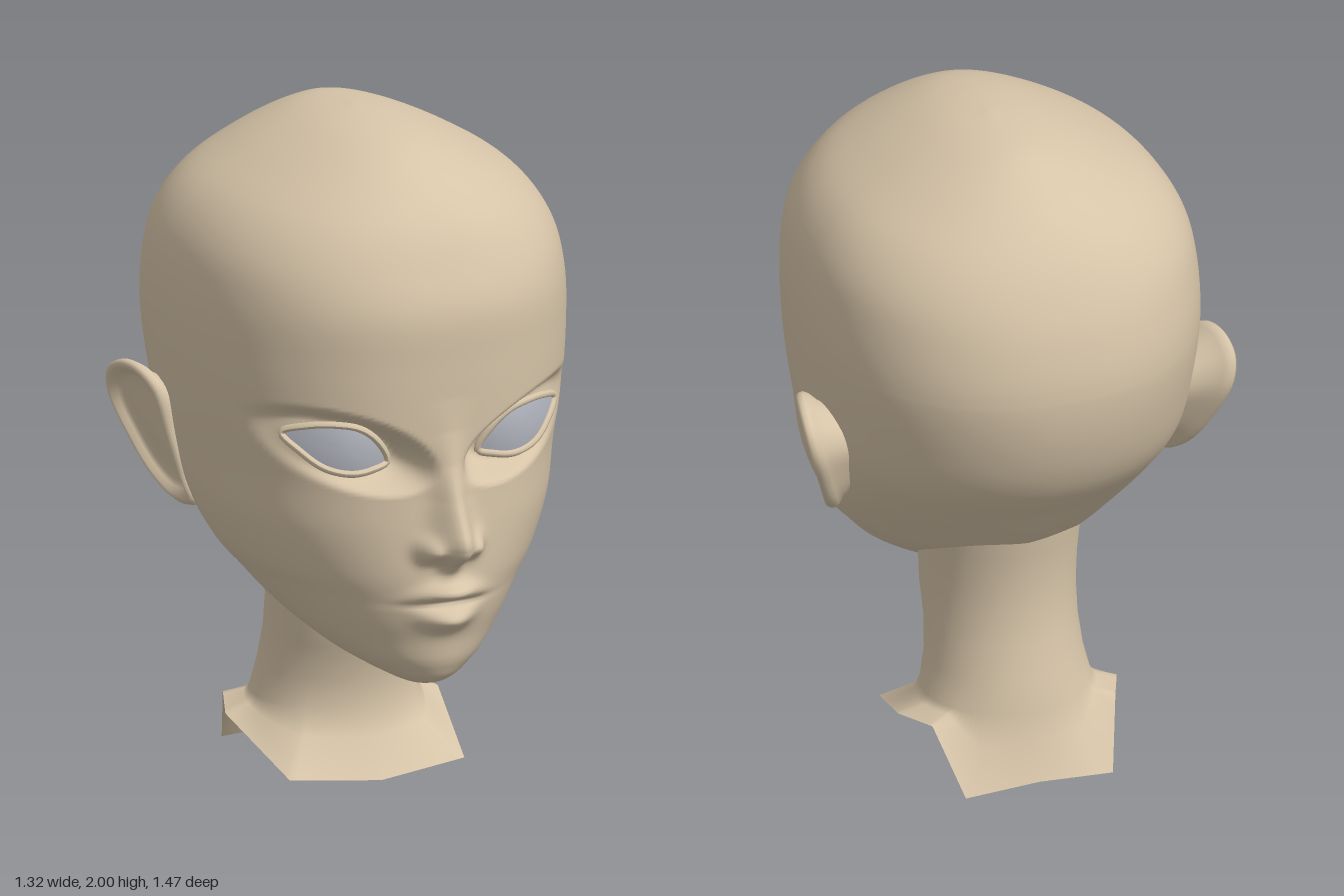
import * as THREE from 'three';
import { mergeVertices } from 'three/addons/utils/BufferGeometryUtils.js';

const skin = new THREE.MeshStandardMaterial({ color: 0xd6c4a8 });
skin.name = 'skin';
const neckSkin = skin;
neckSkin.side = THREE.DoubleSide; // the neck is an open shell
const eyeGrey = new THREE.MeshStandardMaterial({ color: 0xb4b6c0 });
eyeGrey.name = 'eye grey';

const gauss = (d, s) => Math.exp(-(d / s) * (d / s));
const smooth = (a, b, v) => THREE.MathUtils.smoothstep(v, a, b);
const lerp = THREE.MathUtils.lerp;

// Piecewise-linear lookup in rows sorted by their first number
function lookup(rows, v) {
  let i = 0;
  while (i < rows.length - 2 && v > rows[i + 1][0]) i++;
  const t = THREE.MathUtils.clamp((v - rows[i][0]) / (rows[i + 1][0] - rows[i][0]), 0, 1);
  return rows[i].map((n, k) => lerp(n, rows[i + 1][k], t));
}

// Smooth surface through closed rings of [x, y, z] points
function loft(rings) {
  const n = rings[0].length, index = [];
  for (let i = 0; i < rings.length - 1; i++) {
    for (let j = 0; j < n; j++) {
      const k = (j + 1) % n, a = i * n + j, b = i * n + k, c = a + n, d = b + n;
      index.push(a, b, d, a, d, c);
    }
  }
  const geo = new THREE.BufferGeometry();
  geo.setAttribute('position', new THREE.Float32BufferAttribute(rings.flat(2), 3));
  geo.setIndex(index);
  const merged = mergeVertices(geo, 1e-5);
  merged.computeVertexNormals();
  return merged;
}

// Mirror a geometry in x and turn its faces back outward
function mirrored(geo) {
  const m = geo.clone().scale(-1, 1, 1), ix = m.index.array;
  for (let i = 0; i < ix.length; i += 3) [ix[i + 1], ix[i + 2]] = [ix[i + 2], ix[i + 1]];
  m.computeVertexNormals();
  return m;
}

// Level sections of the head: y, front z, back z, half width, z of widest point, front and back squareness
const SECTIONS = [
  [0.403, 0.44, 0.44, 0, 0.44, 2, 2],
  [0.412, 0.49, 0.33, 0.06, 0.42, 2, 2],
  [0.435, 0.53, 0.2, 0.115, 0.36, 2, 2],
  [0.465, 0.55, 0.09, 0.17, 0.3, 2, 2],
  [0.5, 0.565, 0, 0.222, 0.25, 2, 2],
  [0.56, 0.577, -0.1, 0.29, 0.17, 2, 1.9],
  [0.62, 0.595, -0.2, 0.345, 0.1, 2, 1.8],
  [0.69, 0.605, -0.32, 0.4, 0.05, 2, 1.7],
  [0.77, 0.61, -0.415, 0.46, 0, 2.05, 1.6],
  [0.9, 0.605, -0.525, 0.515, -0.05, 2.15, 1.8],
  [1.05, 0.6, -0.645, 0.545, -0.1, 2.2, 2],
  [1.21, 0.607, -0.71, 0.565, -0.1, 2.3, 2.1],
  [1.39, 0.613, -0.735, 0.578, -0.1, 2.3, 2.2],
  [1.55, 0.612, -0.71, 0.573, -0.1, 2.3, 2.2],
  [1.68, 0.565, -0.66, 0.543, -0.1, 2.3, 2.2],
  [1.79, 0.5, -0.59, 0.467, -0.1, 2.2, 2.1],
  [1.88, 0.4, -0.495, 0.335, -0.09, 2.1, 2],
  [1.95, 0.27, -0.375, 0.2, -0.08, 2, 2],
  [1.985, 0.11, -0.265, 0.1, -0.07, 2, 2],
  [2, -0.07, -0.07, 0, -0.07, 2, 2],
];

// Nose: y, height, half width
const NOSE = [
  [0.74, 0, 0.03], [0.78, 0.02, 0.03], [0.805, 0.045, 0.035], [0.82, 0.075, 0.045],
  [0.85, 0.12, 0.055], [0.88, 0.13, 0.058], [0.9, 0.126, 0.056], [0.95, 0.096, 0.05],
  [1, 0.07, 0.045], [1.1, 0.03, 0.045], [1.2, 0.008, 0.05], [1.3, 0, 0.06],
];

const eyeZ = (x, y) => 0.505 - 2.8 * (x - 0.22) ** 2 - 1.5 * (y - 1.15) ** 2;

// Sculpt the eye sockets, nose and lips into the front of the face
function sculpt(x, y, z) {
  const ax = Math.abs(x), u = ax - 0.287, v = y - 1.15, c = Math.cos(0.32), s = Math.sin(0.32);
  const d = Math.hypot((u * c + v * s) / 0.15, (v * c - u * s) / 0.066);
  z = lerp(z, Math.min(z, eyeZ(ax, y) - 0.015), 1 - smooth(1.05, 1.75, d));
  if (y > 0.74 && y < 1.3) {
    const [, h, w] = lookup(NOSE, y);
    z += h * gauss(x, w);
  }
  z += 0.055 * gauss(ax - 0.074, 0.028) * gauss(y - 0.855, 0.034);
  const droop = 1.2 * x * x;
  z += 0.06 * gauss(x, 0.085) * gauss(y - 0.722 + droop, 0.026);
  z += 0.05 * gauss(x, 0.075) * gauss(y - 0.634 - droop, 0.032);
  z -= 0.022 * gauss(x, 0.11) * gauss(y - 0.683, 0.011);
  return z;
}

function headGeometry() {
  const cols = 176, rings = [];
  const key = i => SECTIONS[THREE.MathUtils.clamp(i, 0, SECTIONS.length - 1)];
  const ring = ([y, zf, zb, w, zc, nf, nb]) => Array.from({ length: cols }, (_, j) => {
    const t = j / cols * Math.PI * 2, a = t - 0.35 * Math.sin(t); // columns crowd toward the face
    const sn = Math.sin(a), cs = Math.cos(a), n = cs > 0 ? nf : nb;
    const r = (Math.abs(sn) ** n + Math.abs(cs) ** n) ** (-1 / n);
    const x = w * r * sn, z = zc + r * cs * (cs > 0 ? zf - zc : zc - zb);
    return [x, y, cs > 0.1 && y > 0.5 && y < 1.4 ? sculpt(x, y, z) : z];
  });
  for (let i = 0; i < SECTIONS.length - 1; i++) {
    const [p, q, r, s] = [key(i - 1), key(i), key(i + 1), key(i + 2)];
    const steps = q[0] < 1.3 ? Math.max(4, Math.ceil((r[0] - q[0]) / 0.009)) : 6;
    for (let k = 0; k < steps; k++) {
      const t = k / steps;
      rings.push(ring(q.map((b, m) => 0.5 * (2 * b + (r[m] - p[m]) * t
        + (2 * p[m] - 5 * b + 4 * r[m] - s[m]) * t * t + (3 * b - p[m] - 3 * r[m] + s[m]) * t ** 3))));
    }
  }
  rings.push(ring(key(99)));
  return loft(rings);
}

// Neck: oval rings y, half width, front z, back z, ending in a ragged flared hem
function neckGeometry() {
  const levels = [
    [0.21, 0.25, 0.025, -0.43], [0.3, 0.23, 0.035, -0.41], [0.4, 0.222, 0.06, -0.385],
    [0.5, 0.224, 0.1, -0.373], [0.6, 0.228, 0.1, -0.373], [0.7, 0.235, 0.1, -0.385], [0.9, 0.24, 0.05, -0.42],
  ];
  // angle from the front in degrees, then x, y, z
  const hem = [
    [0, 0, 0.015, 0.13], [45, 0.275, 0.04, 0.1], [97.5, 0.335, 0.16, -0.22],
    [123.75, 0.28, 0.18, -0.36], [146.25, 0.225, 0, -0.49], [180, 0, 0.012, -0.49],
  ];
  const cols = 96, angles = Array.from({ length: cols }, (_, j) => j * 360 / cols);
  const oval = levels.map(([y, w, zf, zb]) => angles.map(deg => {
    const a = deg * Math.PI / 180;
    return [w * Math.sin(a), y, (zf + zb) / 2 + (zf - zb) / 2 * Math.cos(a)];
  }));
  const edge = angles.map(deg => {
    const [, x, y, z] = lookup(hem, deg > 180 ? 360 - deg : deg);
    return [deg > 180 ? -x : x, y, z];
  });
  const flare = edge.map((e, j) => {
    const o = oval[0][j];
    return [lerp(o[0], e[0], 0.2), lerp(o[1], e[1], 0.45), lerp(o[2], e[2], 0.2)];
  });
  return loft([edge, flare, ...oval]);
}

// Left ear: outline in z and y, then rings of scale and outward offset from back to bowl
function earGeometry() {
  const outline = [
    [-0.074, 0.855], [-0.153, 0.842], [-0.24, 0.9], [-0.31, 1.01], [-0.357, 1.13], [-0.338, 1.21],
    [-0.265, 1.255], [-0.18, 1.252], [-0.115, 1.2], [-0.1, 1.07], [-0.085, 0.94],
  ];
  const curve = new THREE.CatmullRomCurve3(outline.map(([z, y]) => new THREE.Vector3(0, y, z)), true);
  const pts = curve.getPoints(56).slice(0, 56);
  const profile = [
    [0.65, -0.11], [0.82, -0.05], [0.95, -0.03], [1, -0.014], [0.99, 0], [0.94, 0.01],
    [0.87, 0.008], [0.8, -0.008], [0.72, -0.018], [0.5, -0.018], [0.25, -0.014], [0, -0.012],
  ];
  return loft(profile.map(([s, off]) => pts.map(p => {
    const y = lerp(1.07, p.y, s), z = lerp(-0.21, p.z, s);
    return [0.57 + 0.245 * (-z - 0.105) + 0.25 * (y - 1.1) + off, y, z];
  })));
}

// Left eye: almond plate and the lid rim that frames it
function eyeGeometries() {
  const outline = [
    [0.143, 1.095], [0.19, 1.08], [0.255, 1.073], [0.33, 1.092], [0.39, 1.14],
    [0.43, 1.19], [0.37, 1.217], [0.3, 1.222], [0.235, 1.208], [0.18, 1.165],
  ];
  const curve = new THREE.CatmullRomCurve3(
    outline.map(([x, y]) => new THREE.Vector3(x, y, eyeZ(x, y) + 0.001)), true);
  const pts = curve.getPoints(64).slice(0, 64);
  const plate = loft([1, 0.8, 0.6, 0.4, 0.2, 0].map(s => pts.map(p => {
    const x = lerp(0.28, p.x, s), y = lerp(1.15, p.y, s);
    return [x, y, eyeZ(x, y)];
  })));
  return { plate, rim: new THREE.TubeGeometry(curve, 64, 0.011, 8, true) };
}

export function createModel() {
  const model = new THREE.Group();
  const add = (name, geo, mat) => {
    const mesh = new THREE.Mesh(geo, mat);
    mesh.name = name;
    model.add(mesh);
  };
  add('head', headGeometry(), skin);
  add('neck', neckGeometry(), neckSkin);

  const ear = earGeometry(), { plate, rim } = eyeGeometries();
  for (const [name, geo, mat] of [['Ear', ear, skin], ['Eye', plate, eyeGrey], ['Eyelid', rim, skin]]) {
    add('left' + name, geo, mat);
    add('right' + name, mirrored(geo), mat);
  }
  return model;
}
